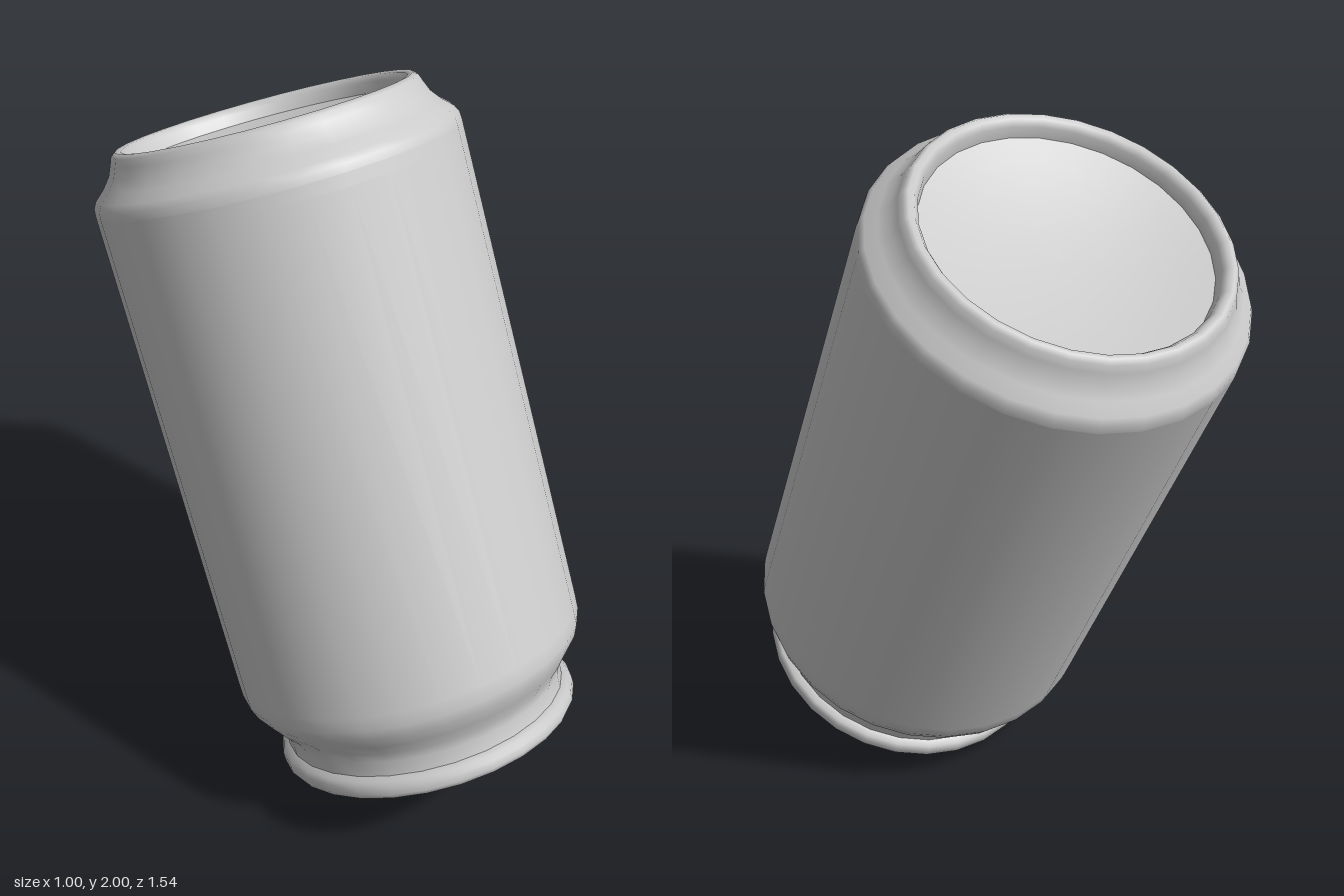
import * as THREE from 'three';
import { toCreasedNormals } from 'three/addons/utils/BufferGeometryUtils.js';

const SIDES = 28;

export function createModel() {
  const model = new THREE.Group();
  model.name = 'tiltedDrinkCan';

  // The can is built with its lid at y = 0 facing up, then tipped over
  const can = new THREE.Group();
  can.name = 'can';
  can.position.set(0, 0.174, 0.385);
  can.rotation.x = Math.PI - 0.424;
  model.add(can);

  const material = new THREE.MeshStandardMaterial({ color: 0xcccccc });

  function add(name, geometry, y = 0, x = 0) {
    const mesh = new THREE.Mesh(geometry, material);
    mesh.name = name;
    mesh.position.set(x, y, 0);
    can.add(mesh);
    return mesh;
  }

  // Turned part from [radius, depth below the lid] pairs
  function turned(name, profile) {
    const points = profile.map(([r, d]) => new THREE.Vector2(r, -d));
    return add(name, new THREE.LatheGeometry(points, SIDES));
  }

  // Flat plate with a rounded edge, lying in the lid plane
  function plate(name, shape, y, x, depth, bevel, offset = -bevel, bevelSegments = 2) {
    const geometry = new THREE.ExtrudeGeometry(shape, {
      depth, bevelThickness: bevel, bevelSize: bevel, bevelOffset: offset,
      bevelSegments, curveSegments: 20,
    });
    geometry.rotateX(-Math.PI / 2);
    return add(name, toCreasedNormals(geometry, 0.7), y, x);
  }

  function oval(rx, ry, x = 0, Type = THREE.Shape) {
    return new Type().absellipse(x, 0, rx, ry, 0, Math.PI * 2, false);
  }

  // Outline around a large circle on the left and a small one on the right
  function teardrop(x1, r1, x2, r2, Type) {
    const a = Math.acos((r1 - r2) / (x2 - x1));
    const path = new Type();
    path.absarc(x2, 0, r2, -a, a, false);
    path.absarc(x1, 0, r1, a, Math.PI * 2 - a, false);
    path.closePath();
    return path;
  }

  // Concave base
  const dome = [];
  for (let i = 0; i <= 6; i++) {
    const r = 0.372 * i / 6;
    dome.push([r, 1.715 + 0.06 * (r / 0.372) ** 2]);
  }
  turned('baseDome', dome);
  turned('baseRing', [
    [0.372, 1.775], [0.378, 1.805], [0.39, 1.821], [0.405, 1.824],
    [0.417, 1.815], [0.425, 1.795], [0.437, 1.768], [0.46, 1.74],
    [0.488, 1.715], [0.498, 1.697], [0.5, 1.675],
  ]);

  // Straight wall and the neck below the lid
  turned('body', [
    [0.5, 1.675], [0.5, 1.64], [0.5, 0.29], [0.499, 0.25], [0.485, 0.215],
    [0.456, 0.175], [0.425, 0.138], [0.411, 0.105], [0.41, 0.062],
  ]);

  // Rolled lip and inner wall of the lid
  turned('lidRim', [
    [0.41, 0.062], [0.428, 0.054], [0.436, 0.04], [0.436, 0.018],
    [0.428, 0.004], [0.415, 0], [0.402, 0.004], [0.395, 0.018],
    [0.388, 0.045], [0.383, 0.07],
  ]);

  // Lid panel with a sunken teardrop
  const panel = oval(0.4, 0.4);
  panel.holes.push(teardrop(-0.11, 0.2, 0.23, 0.07, THREE.Path));
  plate('lidPanel', panel, -0.074, 0, 0.002, 0.018);
  plate('recessFloor', oval(0.38, 0.38), -0.076, 0, 0.002, 0.001);

  // Pour opening panel
  plate('pourPanel', oval(0.155, 0.155), -0.074, -0.125, 0.003, 0.003);

  // Pull tab with a finger hole
  const tab = new THREE.Shape();
  tab.moveTo(-0.02, -0.12);
  tab.lineTo(0.15, -0.11);
  tab.bezierCurveTo(0.29, -0.1, 0.29, 0.1, 0.15, 0.11);
  tab.lineTo(-0.02, 0.12);
  tab.bezierCurveTo(-0.16, 0.11, -0.16, -0.11, -0.02, -0.12);
  tab.holes.push(oval(0.06, 0.072, 0.15, THREE.Path));
  tab.holes.push(oval(0.068, 0.078, -0.02, THREE.Path));
  plate('pullTab', tab, -0.062, 0, 0.006, 0.008, -0.008, 3);

  // Tongue and rivet that hold the tab
  plate('tabTongue', oval(0.056, 0.064), -0.066, -0.02, 0.01, 0.004);
  plate('tabBridge', oval(0.03, 0.04), -0.066, 0.045, 0.01, 0.003);
  add('rivet', new THREE.CylinderGeometry(0.02, 0.028, 0.014, 16), -0.046, -0.02);

  return model;
}
